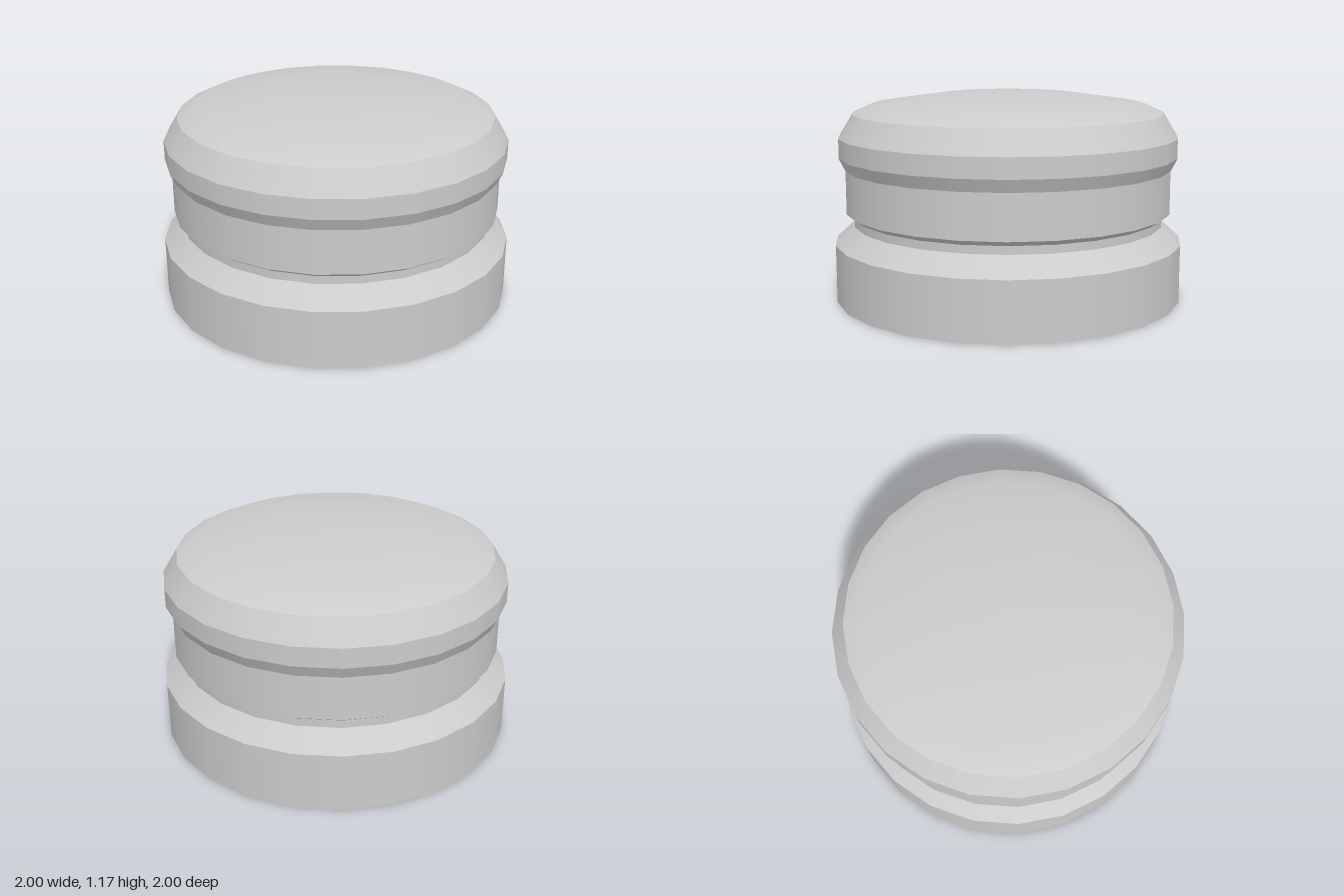
import * as THREE from 'three';

const SIDES = 24;
const material = new THREE.MeshStandardMaterial({ color: 0xcccccc, side: THREE.DoubleSide });

// One smooth band of revolution; neighbouring bands meet in a crisp edge.
function band(name, points) {
  const profile = points.map(([r, y]) => new THREE.Vector2(r, y));
  const mesh = new THREE.Mesh(new THREE.LatheGeometry(profile, SIDES), material);
  mesh.name = name;
  return mesh;
}

export function createModel() {
  const model = new THREE.Group();
  model.name = 'hollowCap';

  // Outer rings from the open bottom upward: name, lower edge, upper edge
  const rings = [
    ['baseSkirt', [1, 0], [1, 0.33]],
    ['baseShoulder', [1, 0.33], [0.89, 0.43]],
    ['neckGroove', [0.89, 0.43], [0.89, 0.475]],
    ['bodyUnderside', [0.89, 0.475], [0.935, 0.505]],
    ['bodyWall', [0.935, 0.505], [0.935, 0.75]],
    ['lidFlare', [0.935, 0.75], [0.97, 0.82]],
    ['lidWall', [0.97, 0.82], [0.97, 0.93]],
    ['lidBevel', [0.97, 0.93], [0.89, 1.06]],
  ];
  for (const [name, low, high] of rings) model.add(band(name, [low, high]));

  // Softly domed top
  model.add(band('domedTop', [[0.89, 1.06], [0.78, 1.11], [0.39, 1.165], [0, 1.168]]));

  return model;
}
